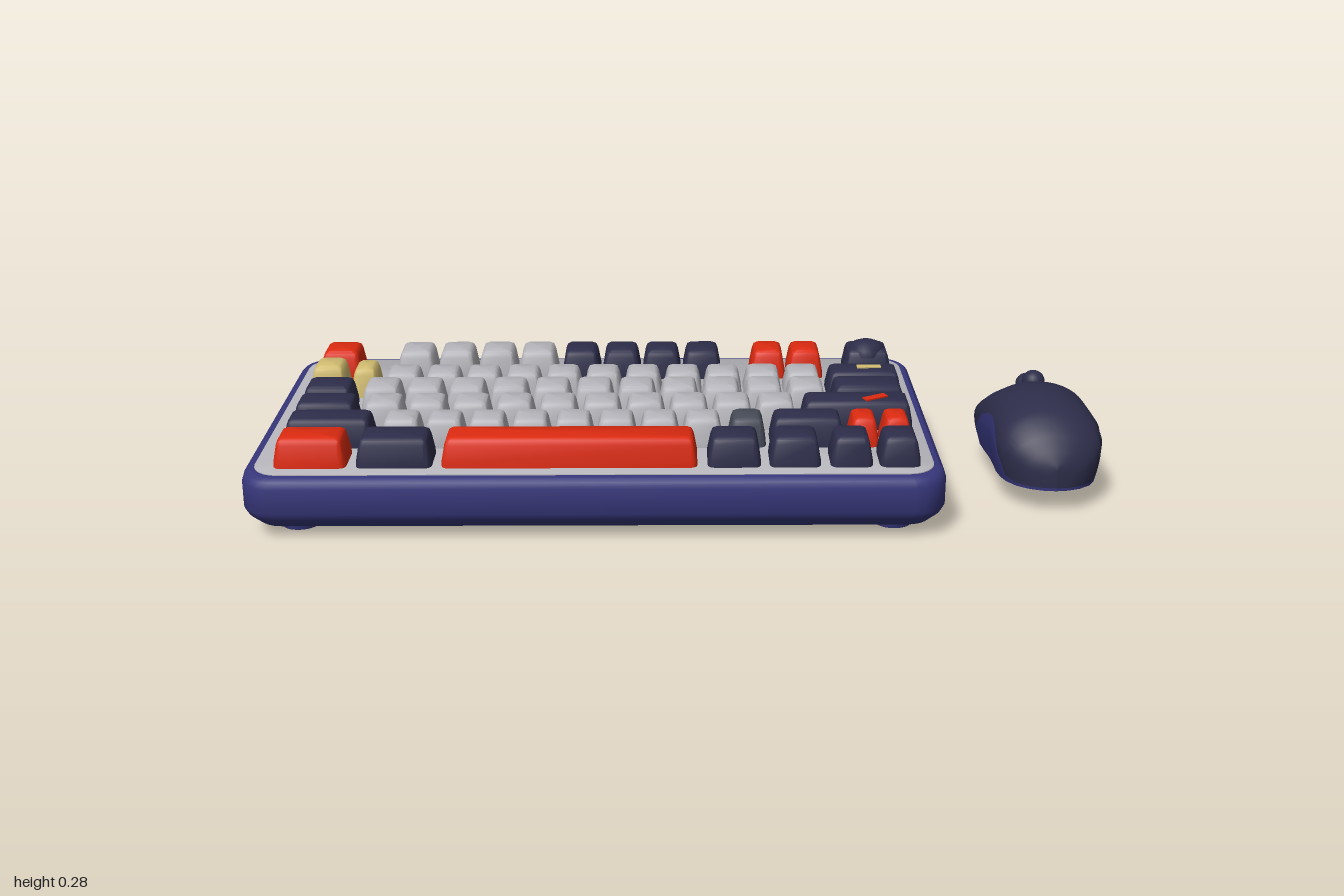
import * as THREE from 'three';
import { toCreasedNormals } from 'three/addons/utils/BufferGeometryUtils.js';

const mat = (name, color) => {
  const m = new THREE.MeshStandardMaterial({ color });
  m.name = name;
  return m;
};

// Sloping top and underside of the keyboard case
const deckY = z => 0.172 - 0.063 * z;
const underY = z => 0.031 - 0.026 * z;

function buildGeometry(pos, idx) {
  const g = new THREE.BufferGeometry();
  g.setAttribute('position', new THREE.Float32BufferAttribute(pos, 3));
  g.setIndex(idx);
  g.computeVertexNormals();
  return g;
}

// Stack of rounded rectangles; each level is [inset, y(z)], capped at both ends
function loft(cx, cz, w, d, radius, levels, seg = 4) {
  const pos = [], idx = [], n = 4 * (seg + 1);
  for (const [inset, y] of levels) {
    const r = Math.max(radius - inset * 0.5, 0.004);
    const hx = w / 2 - inset - r, hz = d / 2 - inset - r;
    for (let c = 0; c < 4; c++) for (let k = 0; k <= seg; k++) {
      const a = (c + k / seg) * Math.PI / 2;
      const x = (c === 0 || c === 3 ? hx : -hx) + r * Math.cos(a);
      const z = cz + (c < 2 ? hz : -hz) + r * Math.sin(a);
      pos.push(cx + x, y(z), z);
    }
  }
  const last = levels.length - 1;
  pos.push(cx, levels[0][1](cz), cz, cx, levels[last][1](cz), cz);
  const bottom = n * levels.length, top = bottom + 1;
  for (let j = 0; j < n; j++) {
    const k = (j + 1) % n;
    for (let i = 0; i < last; i++) {
      const a = i * n + j, b = i * n + k;
      idx.push(a, a + n, b, b, a + n, b + n);
    }
    idx.push(bottom, j, k, top, last * n + k, last * n + j);
  }
  return toCreasedNormals(buildGeometry(pos, idx), 0.7);
}

// Surface through a grid of points
function grid(rows, cols, point) {
  const pos = [], idx = [];
  for (let i = 0; i <= rows; i++) for (let j = 0; j <= cols; j++) {
    pos.push(...point(i, j / cols));
    if (i < rows && j < cols) {
      const a = i * (cols + 1) + j, c = a + cols + 1;
      idx.push(a, a + 1, c, a + 1, c + 1, c);
    }
  }
  return buildGeometry(pos, idx);
}

export function createModel() {
  const model = new THREE.Group();
  const blue = mat('caseBlue', 0x36367a);
  const navy = mat('darkNavy', 0x2d2d4a);
  const grey = mat('lightGrey', 0xb4b4ba);
  const red = mat('red', 0xdb2a10);
  const yellow = mat('paleYellow', 0xd0bb70);
  const slate = mat('slateGrey', 0x464b57);
  const add = (parent, name, geo, material, x = 0, y = 0, z = 0) => {
    const m = new THREE.Mesh(geo, material);
    m.name = name;
    m.position.set(x, y, z);
    parent.add(m);
    return m;
  };

  // Keyboard case and deck plate
  const keyboard = new THREE.Group();
  keyboard.name = 'keyboard';
  model.add(keyboard);
  const level = (t, lift = 0) => z => underY(z) + (deckY(z) - underY(z)) * t + lift;
  add(keyboard, 'case', loft(-0.207, 0, 1.586, 0.8, 0.075, [
    [0.045, level(0)], [0.03, level(0.04)], [0.008, level(0.22)], [0, level(0.35)],
    [0, level(0.82)], [0.005, level(0.94)], [0.014, level(1)], [0.026, level(1)],
  ], 6), blue);
  add(keyboard, 'deckPlate', loft(-0.207, 0, 1.586, 0.8, 0.075, [
    [0.026, level(0.95)], [0.026, level(1, 0.002)], [0.03, level(1, 0.004)],
  ], 6), grey);

  // Feet
  for (const x of [-0.885, 0.475]) for (const [z, y] of [[0.285, 0], [-0.29, 0.012]]) {
    add(keyboard, 'foot', new THREE.CylinderGeometry(0.052, 0.042, 0.04, 20), blue, x, y + 0.02, z);
  }

  // Keycaps: each row has z range, top height and runs of [x0, x1, count, material]
  const rows = [
    [-0.33, -0.22, 0.262, [[-0.93, -0.82, 1, red], [-0.735, -0.322, 4, grey],
      [-0.315, 0.096, 4, navy], [0.165, 0.355, 2, red], [0.405, 0.53, 1, navy]]],
    [-0.19, -0.09, 0.243, [[-0.93, -0.835, 1, yellow, 0.018], [-0.83, -0.755, 1, yellow, 0.012],
      [-0.75, 0.342, 11, grey], [0.35, 0.54, 1, navy]]],
    [-0.085, 0.02, 0.242, [[-0.93, -0.8, 1, navy], [-0.787, 0.345, 11, grey], [0.352, 0.535, 1, navy]]],
    [0.025, 0.125, 0.236, [[-0.93, -0.775, 1, navy], [-0.767, 0.265, 10, grey], [0.272, 0.54, 1, navy]]],
    [0.135, 0.23, 0.23, [[-0.93, -0.72, 1, navy], [-0.707, 0.087, 8, grey], [0.095, 0.187, 1, slate],
      [0.192, 0.368, 1, navy], [0.373, 0.525, 2, red]]],
    [0.24, 0.345, 0.223, [[-0.93, -0.762, 1, red], [-0.745, -0.57, 1, navy], [-0.553, 0.027, 1, red],
      [0.045, 0.17, 1, navy], [0.185, 0.305, 1, navy], [0.322, 0.422, 1, navy], [0.433, 0.53, 1, navy]]],
  ];
  for (const [z0, z1, top, runs] of rows) for (const [x0, x1, count, material, lift = 0] of runs) {
    const step = (x1 - x0) / count, cz = (z0 + z1) / 2;
    const base = deckY(cz), h = top + lift - base;
    const at = t => z => base + h * t - 0.063 * (z - cz);
    for (let i = 0; i < count; i++) {
      add(keyboard, 'keycap', loft(x0 + step * (i + 0.5), cz, step - 0.004, z1 - z0, 0.016, [
        [0, at(-0.1)], [0.001, at(0.25)], [0.008, at(0.78)], [0.012, at(0.93)], [0.02, at(1)],
      ]), material);
    }
  }

  // Rotary knob on the corner key
  const knob = [[0.046, 0], [0.044, 0.018], [0.034, 0.03], [0.018, 0.036], [0, 0.038]]
    .map(p => new THREE.Vector2(...p));
  add(keyboard, 'knob', new THREE.LatheGeometry(knob, 24), navy, 0.467, 0.242, -0.27);

  // Small accent plates on two wide keys
  add(keyboard, 'yellowAccent', new THREE.BoxGeometry(0.06, 0.004, 0.02), yellow, 0.46, 0.244, -0.145).rotation.x = 0.063;
  const accent = add(keyboard, 'redAccent', new THREE.BoxGeometry(0.06, 0.004, 0.02), red, 0.45, 0.237, 0.085);
  accent.rotation.set(0.063, 0.5, 0);

  // Mouse cross-sections: z, half width, top, underside, side panel top
  const mouse = new THREE.Group();
  mouse.name = 'mouse';
  mouse.position.x = 0.86;
  model.add(mouse);
  const st = [
    [-0.265, 0, 0.108, 0.08, 0.088], [-0.258, 0.045, 0.122, 0.068, 0.078], [-0.24, 0.078, 0.135, 0.059, 0.07],
    [-0.21, 0.106, 0.152, 0.055, 0.068], [-0.16, 0.126, 0.18, 0.055, 0.078], [-0.1, 0.132, 0.211, 0.055, 0.11],
    [-0.05, 0.13, 0.234, 0.055, 0.15], [0, 0.126, 0.24, 0.055, 0.17], [0.05, 0.126, 0.239, 0.055, 0.176],
    [0.1, 0.128, 0.233, 0.055, 0.165], [0.14, 0.124, 0.221, 0.055, 0.12], [0.17, 0.115, 0.207, 0.055, 0.07],
    [0.2, 0.095, 0.178, 0.055, 0.063], [0.222, 0.065, 0.146, 0.055, 0.062], [0.234, 0.032, 0.122, 0.055, 0.062],
    [0.238, 0, 0.11, 0.055, 0.062],
  ];
  const bulge = t => t < 0.5 ? 0.9 + 0.1 * Math.sin(Math.PI * t) : Math.sqrt(Math.max(0, 1 - (2 * t - 1) ** 2));
  const onMouse = (i, side, t) => {
    const [z, w, h, b] = st[i];
    return [side * w * bulge(t), b + (h - b) * t, z];
  };
  const panelT = i => (st[i][4] - st[i][3]) / (st[i][2] - st[i][3]);
  const n = st.length - 1;
  add(mouse, 'mouseShell', grid(n, 28, (i, v) => {
    const s = 1 - 2 * v, t = panelT(i);
    return onMouse(i, Math.sign(s), t + (1 - t) * Math.sin((1 - Math.abs(s)) * Math.PI / 2));
  }), navy);
  add(mouse, 'leftSidePanel', grid(n, 6, (i, v) => onMouse(i, 1, panelT(i) * v)), blue);
  add(mouse, 'rightSidePanel', grid(n, 6, (i, v) => onMouse(i, -1, panelT(i) * (1 - v))), blue);
  add(mouse, 'mouseBase', grid(n, 2, (i, v) => {
    const [x, y, z] = onMouse(i, 1, 0);
    return [x * (2 * v - 1), y, z];
  }), blue);

  // Scroll wheel and button on top of the mouse
  for (const [y, z] of [[0.225, -0.08], [0.196, -0.152]]) {
    add(mouse, 'wheelButton', new THREE.SphereGeometry(0.028, 20, 14), navy, 0, y, z);
  }
  return model;
}
